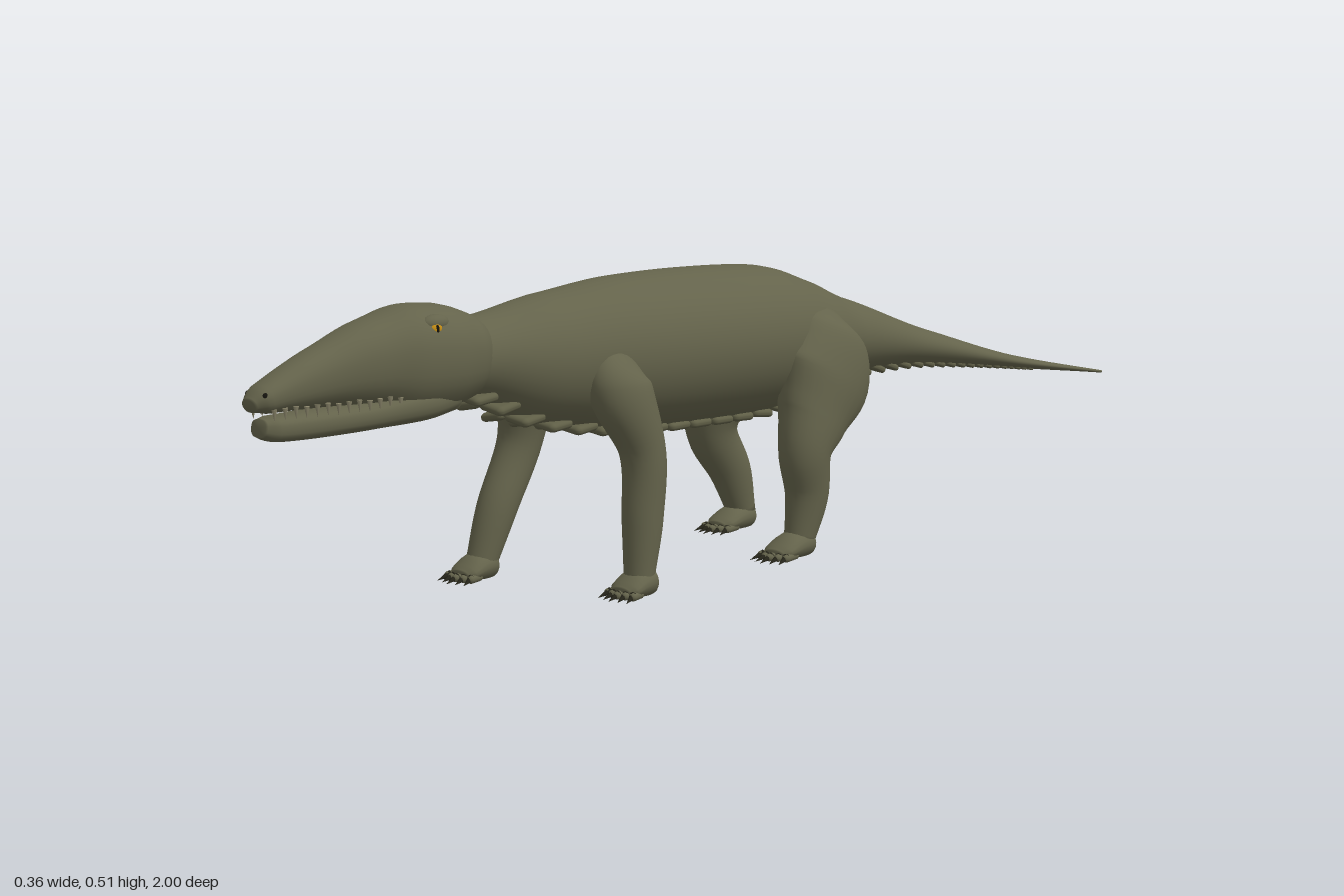
import * as THREE from 'three';
import { RoundedBoxGeometry } from 'three/addons/geometries/RoundedBoxGeometry.js';

const mat = (name, color) => {
  const m = new THREE.MeshStandardMaterial({ color });
  m.name = name;
  return m;
};

// Smooth sampling of sections [x, y, z, rx, ry]
function sampler(sections) {
  const path = new THREE.CatmullRomCurve3(sections.map(s => new THREE.Vector3(s[0], s[1], s[2])));
  const size = new THREE.CatmullRomCurve3(sections.map(s => new THREE.Vector3(s[3], s[4], 0)), false, 'catmullrom', 0.4);
  return t => {
    const c = path.getPoint(t), r = size.getPoint(t), d = path.getTangent(t);
    d.x = 0;
    d.normalize();
    return { c, rx: Math.max(r.x, 0.001), ry: Math.max(r.y, 0.001), v: new THREE.Vector3(0, d.z, -d.y) };
  };
}

// Closed skin of elliptical rings; power below 1 makes the rings squarer
function loft(sections, rings = 30, sides = 24, power = 1) {
  const at = sampler(sections), pos = [], idx = [];
  const shape = n => Math.sign(n) * Math.abs(n) ** power;
  for (let i = 0; i <= rings; i++) {
    const { c, rx, ry, v } = at(i / rings);
    for (let j = 0; j < sides; j++) {
      const a = j / sides * Math.PI * 2, h = shape(Math.sin(a)) * ry;
      pos.push(c.x + shape(Math.cos(a)) * rx, c.y + v.y * h, c.z + v.z * h);
    }
  }
  for (let i = 0; i < rings; i++) for (let j = 0; j < sides; j++) {
    const a = i * sides + j, b = i * sides + (j + 1) % sides;
    idx.push(a, b, a + sides, b, b + sides, a + sides);
  }
  const n = pos.length / 3, last = rings * sides;
  pos.push(...at(0).c.toArray(), ...at(1).c.toArray());
  for (let j = 0; j < sides; j++) {
    const k = (j + 1) % sides;
    idx.push(n, k, j, n + 1, last + j, last + k);
  }
  const g = new THREE.BufferGeometry();
  g.setAttribute('position', new THREE.Float32BufferAttribute(pos, 3));
  g.setIndex(idx);
  g.computeVertexNormals();
  return g;
}

// The tail swings to the left behind z = -0.3
const bend = z => 0.1 * Math.max(0, (-z - 0.3) / 0.7) ** 1.5;

// Turns [z, top, bottom, halfWidth] rows into loft sections
const rows = list => list.map(([z, top, bottom, w]) => [bend(z), (top + bottom) / 2, z, w, (top - bottom) / 2]);

export function createModel() {
  const skin = mat('olive skin', 0x64634b), armour = mat('armour olive', 0x5f5e46);
  const claw = mat('dark claw', 0x26251a), gold = mat('gold eye', 0xc08a14);
  const black = mat('black', 0x14130e), ivory = mat('dull tooth', 0x8c876c);
  const model = new THREE.Group();
  model.name = 'reptile';
  const add = (name, geo, material, parent = model, p = [0, 0, 0], s = [1, 1, 1]) => {
    const m = new THREE.Mesh(geo, material);
    m.name = name;
    m.position.set(...p);
    m.scale.set(...s);
    parent.add(m);
    return m;
  };
  const ball = new THREE.SphereGeometry(1, 16, 12);

  // Trunk and curving tail
  const trunk = rows([
    [0.70, 0.45, 0.34, 0.066], [0.60, 0.463, 0.335, 0.067], [0.46, 0.488, 0.282, 0.096],
    [0.28, 0.507, 0.255, 0.123], [0.10, 0.511, 0.249, 0.135], [-0.05, 0.505, 0.25, 0.134],
    [-0.17, 0.473, 0.264, 0.113], [-0.27, 0.436, 0.293, 0.084], [-0.50, 0.362, 0.293, 0.054],
    [-0.75, 0.292, 0.267, 0.031], [-1.0, 0.243, 0.238, 0.002],
  ]);
  add('bodyAndTail', loft(trunk, 90, 36), skin);

  // Skull with upper jaw
  const skull = rows([
    [0.585, 0.455, 0.35, 0.055], [0.62, 0.474, 0.336, 0.074], [0.67, 0.489, 0.326, 0.086], [0.73, 0.49, 0.326, 0.081],
    [0.79, 0.474, 0.342, 0.062], [0.88, 0.44, 0.352, 0.043], [0.98, 0.394, 0.352, 0.029], [1.0, 0.376, 0.356, 0.015],
  ]);
  add('skull', loft(skull, 40, 32, 0.88), skin);

  // Lower jaw
  const jaw = rows([
    [0.66, 0.38, 0.325, 0.06], [0.72, 0.372, 0.317, 0.07], [0.80, 0.358, 0.313, 0.054],
    [0.90, 0.351, 0.31, 0.037], [0.965, 0.349, 0.312, 0.029], [0.985, 0.346, 0.32, 0.017],
  ]);
  add('lowerJaw', loft(jaw, 30, 28, 0.75), skin);

  // Eyes, nostrils and teeth
  const tooth = new THREE.ConeGeometry(0.0045, 0.018, 6).rotateX(Math.PI);
  for (const s of [-1, 1]) {
    add('browRidge', ball, skin, model, [s * 0.054, 0.464, 0.705], [0.016, 0.014, 0.026]);
    add('eye', ball, gold, model, [s * 0.064, 0.456, 0.712], [0.009, 0.01, 0.012]);
    add('pupil', ball, black, model, [s * 0.0705, 0.457, 0.714], [0.0035, 0.007, 0.003]);
    add('nostril', ball, black, model, [s * 0.02, 0.38, 0.985], [0.005, 0.006, 0.006]);
    for (let i = 0; i < 13; i++) {
      const back = i * 0.017;
      add('tooth', tooth, ivory, model, [s * (0.025 + back * 0.135), 0.352 + (i % 3) * 0.001, 0.975 - back]);
    }
  }

  // Two rows of back plates, shrinking along the tail
  const bodyAt = sampler(trunk), plate = new RoundedBoxGeometry(1, 0.4, 1, 4, 0.18);
  let nextZ = 0.6;
  for (let t = 0; t < 1; t += 0.0005) {
    const { c, rx, ry, v } = bodyAt(t);
    if (c.z > nextZ || c.z < -0.8) continue;
    const size = Math.max(0.016, 0.051 - Math.max(0, -0.1 - c.z) * 0.052);
    const off = Math.min(size * 0.56, rx * 0.55);
    const ahead = bodyAt(Math.min(t + 0.005, 1));
    const slope = Math.atan2(ahead.c.y + ahead.ry - c.y - ry, c.z - ahead.c.z);
    const h = ry * Math.sqrt(1 - (off / rx) ** 2);
    for (const s of [-1, 1]) {
      const m = add('backPlate', plate, armour, model, [c.x + s * off, c.y + v.y * h + 0.002, c.z + v.z * h],
        [size, size * 0.5 + 0.012, size * 0.96]);
      m.rotation.set(slope, 0, -s * Math.atan(ry * off / (rx * rx)) * 0.5);
    }
    nextZ = c.z - size * 1.03;
  }

  // Paw with five clawed toes, origin under the ankle
  const pawGeo = loft([[0, 0.03, -0.034, 0.012, 0.012], [0, 0.029, -0.022, 0.026, 0.024], [0, 0.027, 0.005, 0.031, 0.023],
    [0, 0.02, 0.03, 0.031, 0.014], [0, 0.017, 0.042, 0.02, 0.008]], 16, 18);
  const toeGeo = new THREE.CapsuleGeometry(0.007, 0.022, 4, 8).rotateX(Math.PI / 2);
  const clawGeo = new THREE.ConeGeometry(0.0065, 0.026, 8).rotateX(Math.PI / 2 + 0.35);
  function paw(name, x, y, z, length) {
    const g = new THREE.Group();
    g.name = name;
    g.position.set(x, y, z);
    g.scale.z = length;
    add('palm', pawGeo, skin, g);
    for (let i = -2; i <= 2; i++) {
      const reach = 0.044 - Math.abs(i) * 0.004, a = i * 0.13;
      add('toe', toeGeo, skin, g, [i * 0.0125, 0.014, reach - 0.006]).rotation.y = a;
      add('claw', clawGeo, claw, g, [i * 0.0145, 0.0115, reach + 0.014]).rotation.y = a;
    }
    model.add(g);
  }

  // Leg profiles [x, y, rx, rz] from the top down; the stride gives z for each section
  const front = [[0.085, 0.4, 0.02, 0.03], [0.1, 0.345, 0.045, 0.056], [0.117, 0.235, 0.037, 0.038],
    [0.119, 0.13, 0.033, 0.034], [0.122, 0.03, 0.025, 0.024]];
  const hind = [[0.085, 0.425, 0.02, 0.03], [0.105, 0.39, 0.052, 0.08], [0.117, 0.32, 0.06, 0.107],
    [0.126, 0.25, 0.053, 0.075], [0.135, 0.195, 0.043, 0.05], [0.133, 0.12, 0.035, 0.041], [0.13, 0.035, 0.025, 0.027]];
  function leg(name, side, profile, stride, footY, footZ, footLength) {
    add(name + 'Leg', loft(profile.map(([x, y, rx, rz], i) => [side * x, y, stride[i], rx, rz]), 36), skin);
    paw(name + 'Foot', side * profile.at(-1)[0], footY, footZ, footLength);
  }
  leg('leftFront', 1, front, [0.36, 0.37, 0.335, 0.338, 0.35], 0, 0.352, 0.95);
  leg('rightFront', -1, front, [0.38, 0.38, 0.385, 0.435, 0.473], 0.012, 0.474, 0.98);
  leg('leftHind', 1, hind, [-0.15, -0.135, -0.11, -0.068, -0.04, -0.048, -0.03], 0.008, -0.018, 1.25);
  leg('rightHind', -1, hind, [-0.15, -0.14, -0.125, -0.1, -0.098, -0.143, -0.172], 0.004, -0.155, 1.25);
  return model;
}
